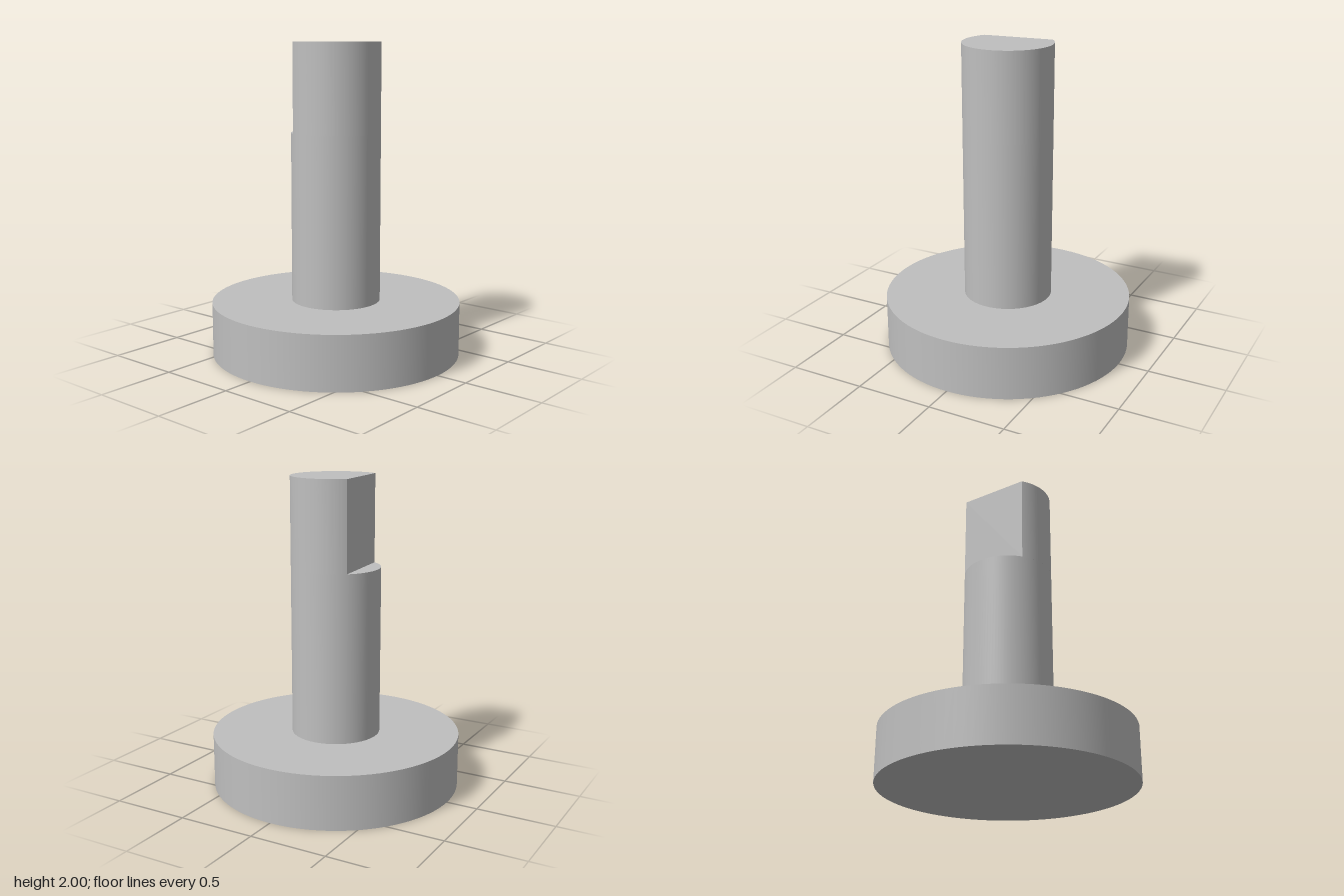
import * as THREE from 'three';
import { toCreasedNormals } from 'three/addons/utils/BufferGeometryUtils.js';

const BASE_RADIUS = 0.8, BASE_TOP = 0.345;
const SHAFT_RADIUS = 0.285, LEDGE = 1.43, TOP = 2;

export function createModel() {
  const model = new THREE.Group();
  model.name = 'flangedShaft';
  const grey = new THREE.MeshStandardMaterial({ color: 0xbfbfbf });
  grey.name = 'light grey';

  const add = (name, geometry, y) => {
    const mesh = new THREE.Mesh(geometry, grey);
    mesh.name = name;
    mesh.position.y = y;
    model.add(mesh);
  };
  const addDisc = (name, radius, bottom, top) =>
    add(name, new THREE.CylinderGeometry(radius, radius, top - bottom, 96), (bottom + top) / 2);

  // Round base flange and the full-round part of the shaft
  addDisc('baseFlange', BASE_RADIUS, 0, BASE_TOP);
  addDisc('lowerShaft', SHAFT_RADIUS, BASE_TOP, LEDGE);

  // D-shaped upper shaft: a circle cut by a slightly skewed flat at the back
  const section = new THREE.Shape();
  section.absarc(0, 0, SHAFT_RADIUS, THREE.MathUtils.degToRad(149), THREE.MathUtils.degToRad(403), false);
  section.closePath();
  const upper = new THREE.ExtrudeGeometry(section, { depth: TOP - LEDGE, bevelEnabled: false, curveSegments: 72 });
  upper.rotateX(-Math.PI / 2);
  add('flattenedUpperShaft', toCreasedNormals(upper, Math.PI / 6), LEDGE);

  return model;
}
